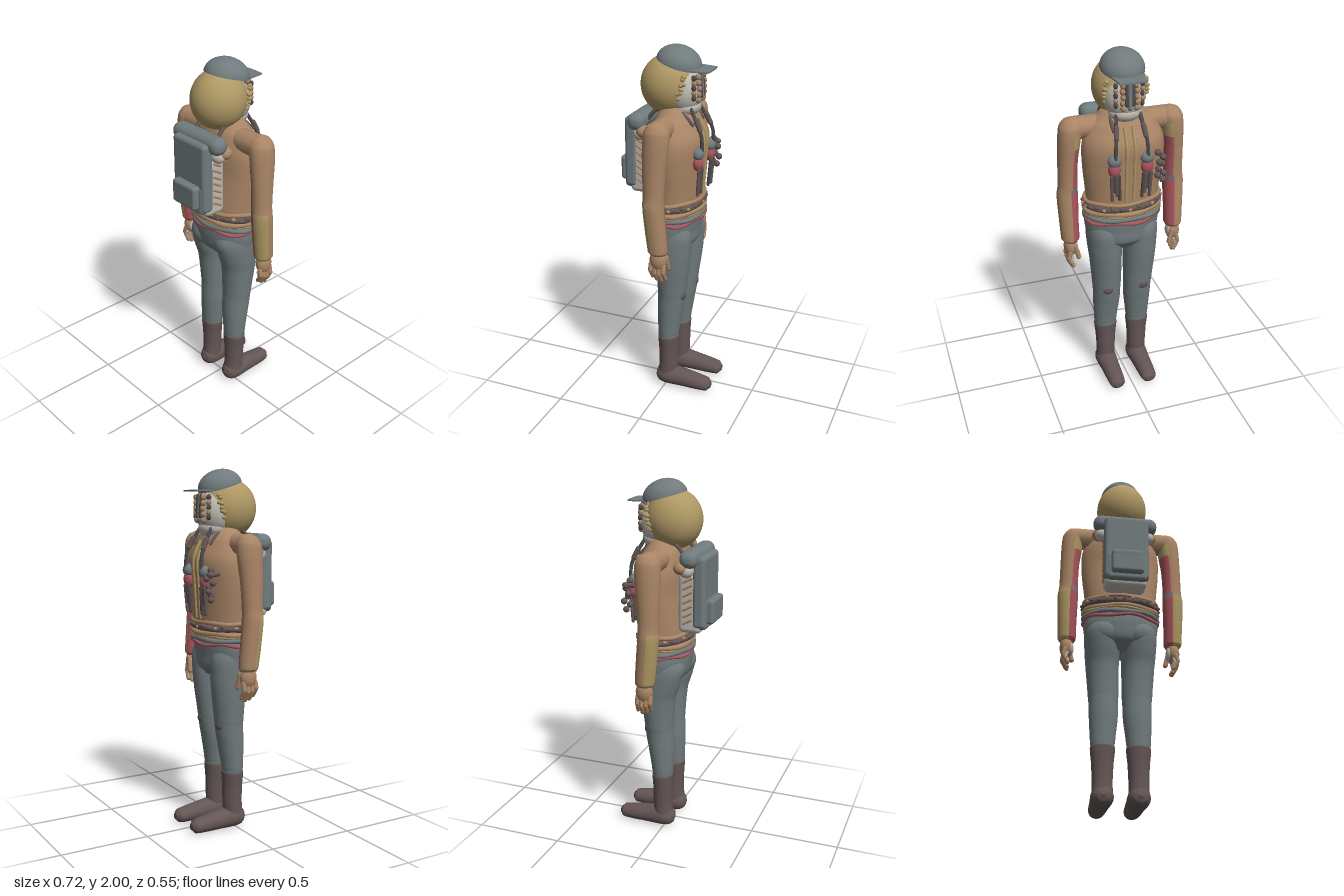
import * as THREE from 'three';
import { RoundedBoxGeometry } from 'three/addons/geometries/RoundedBoxGeometry.js';

const paint = (name, color) => {
  const m = new THREE.MeshStandardMaterial({ color });
  m.name = name;
  return m;
};

export function createModel() {
  const tan = paint('tan', 0xa98566), grey = paint('grey', 0x717b7d), olive = paint('olive', 0xae9864);
  const brown = paint('brown', 0x645655), red = paint('red', 0xa8555c), pale = paint('pale grey', 0xbcb8b0);
  const dark = paint('dark slate', 0x4c4a4b), blue = paint('blue grey', 0x65798a);
  const root = new THREE.Group();
  root.name = 'hiker';

  const add = (name, geo, mat, x = 0, y = 0, z = 0, parent = root) => {
    const m = new THREE.Mesh(geo, mat);
    m.name = name;
    m.position.set(x, y, z);
    parent.add(m);
    return m;
  };
  const ball = (name, mat, x, y, z, rx, ry = rx, rz = rx, seg = 20) =>
    add(name, new THREE.SphereGeometry(1, seg, Math.ceil(seg * 0.7)).scale(rx, ry, rz), mat, x, y, z);
  const box = (name, mat, x, y, z, w, h, d, r) =>
    add(name, new RoundedBoxGeometry(w, h, d, 4, r), mat, x, y, z);
  const tube = (name, mat, pts, r, closed = false, n = 20) => add(name,
    new THREE.TubeGeometry(new THREE.CatmullRomCurve3(pts.map(p => new THREE.Vector3(...p)), closed), n, r, 8, closed), mat);
  // capsule running between two points
  const rod = (name, mat, a, b, r) => {
    const p = new THREE.Vector3(...a), q = new THREE.Vector3(...b), d = q.clone().sub(p);
    const m = add(name, new THREE.CapsuleGeometry(r, d.length(), 5, 12), mat);
    m.position.copy(p).add(q).multiplyScalar(0.5);
    m.quaternion.setFromUnitVectors(new THREE.Vector3(0, 1, 0), d.normalize());
    return m;
  };

  // smooth skin over elliptical sections [y, cx, cz, rx, rz]; pick() chooses a material per face
  const loft = (name, sections, mats, pick = () => 0) => {
    const list = [].concat(mats), seg = 40, sub = 6, rows = [], pos = [];
    const at = i => sections[Math.min(Math.max(i, 0), sections.length - 1)];
    for (let i = 0; i < sections.length - 1; i++)
      for (let k = 0; k < sub + (i === sections.length - 2 ? 1 : 0); k++) {
        const t = k / sub, [a, b, c, d] = [at(i - 1), at(i), at(i + 1), at(i + 2)];
        rows.push(b.map((v, n) => n === 0 ? v + (c[0] - v) * t :
          v + 0.5 * t * (c[n] - a[n] + t * (2 * a[n] - 5 * v + 4 * c[n] - d[n] + t * (3 * (v - c[n]) + d[n] - a[n])))));
      }
    for (const [y, cx, cz, rx, rz] of rows)
      for (let j = 0; j < seg; j++) {
        const a = j / seg * Math.PI * 2;
        pos.push(cx + Math.max(rx, 0.002) * Math.cos(a), y, cz + Math.max(rz, 0.002) * Math.sin(a));
      }
    const last = rows.length - 1, base = rows.length * seg;
    for (const r of [rows[0], rows[last]]) pos.push(r[1], r[0], r[2]);
    const faces = list.map(() => []);
    for (let j = 0; j < seg; j++) {
      const n = (j + 1) % seg;
      for (let i = 0; i < last; i++) {
        const a = i * seg + j, b = i * seg + n;
        faces[pick((j + 0.5) / seg * Math.PI * 2, (rows[i][0] + rows[i + 1][0]) / 2)]
          .push(a, a + seg, b, b, a + seg, b + seg);
      }
      faces[0].push(base, j, n, base + 1, last * seg + n, last * seg + j);
    }
    const g = new THREE.BufferGeometry();
    g.setAttribute('position', new THREE.Float32BufferAttribute(pos, 3));
    g.setIndex(faces.flat());
    let start = 0;
    faces.forEach((f, i) => { g.addGroup(start, f.length, i); start += f.length; });
    g.computeVertexNormals();
    return add(name, g, list.length > 1 ? list : list[0]);
  };

  // jacket, shoulders and collar
  loft('jacket', [[1.08, 0, -.025, .2, .135], [1.2, 0, -.03, .205, .138], [1.4, 0, -.045, .225, .135],
    [1.52, 0, -.045, .222, .14], [1.62, 0, -.03, .18, .11], [1.68, 0, -.025, .115, .085], [1.71, 0, -.025, .08, .07]], tan);
  rod('shoulderYoke', tan, [-.25, 1.598, -.015], [.25, 1.598, -.015], .062);
  for (const x of [-.022, .022])
    tube('jacketPlacket', olive, [[x, 1.62, -.142], [x, 1.52, -.184], [x, 1.4, -.179], [x, 1.2, -.167]], .009);

  // wavy hem bands and belt
  const band = (name, mat, y, r, grow, wave) => {
    const pts = [];
    for (let i = 0; i < 36; i++) {
      const a = i / 36 * Math.PI * 2;
      pts.push([(.208 + grow) * Math.cos(a), y + wave * Math.sin(a * 5 + y * 90), -.025 + (.138 + grow) * Math.sin(a)]);
    }
    tube(name, mat, pts, r, true, 72);
  };
  band('jacketHem', tan, 1.178, .012, .001, .003);
  band('beltBand', brown, 1.15, .017, 0, .002);
  band('hemRoll', tan, 1.12, .014, .003, .003);
  band('lowerHem', olive, 1.107, .008, .006, .003);
  band('waistRoll', grey, 1.085, .014, .003, .003);
  band('shirtTail', red, 1.062, .010, .005, .007);
  for (let i = 0; i < 28; i++) {
    const a = i / 28 * Math.PI * 2;
    ball('beltStud', i % 3 ? brown : tan, .218 * Math.cos(a), 1.156 + .006 * Math.sin(i * 2.3), -.025 + .148 * Math.sin(a), .013, .01, .013, 10);
  }

  // trousers seat
  loft('trouserSeat', [[.88, 0, -.03, .12, .08], [.93, 0, -.025, .19, .125], [1.0, 0, -.02, .208, .135],
    [1.06, 0, -.022, .212, .138], [1.12, 0, -.025, .2, .13]], grey);

  for (const s of [1, -1]) {
    // legs and boots
    const x = .097 * s;
    loft('trouserLeg', [[.32, x, -.012, .063, .057], [.36, x, -.013, .067, .06], [.5, .093 * s, -.022, .078, .073],
      [.58, .093 * s, -.03, .08, .079], [.63, .094 * s, -.033, .084, .082], [.8, .1 * s, -.037, .092, .099],
      [.9, .102 * s, -.026, .099, .118], [.98, .103 * s, -.02, .1, .125], [1.06, .1 * s, -.02, .09, .1]], grey);
    ball('buttock', grey, .088 * s, .975, .03, .092, .085, .083);
    ball('kneePatch', brown, .1 * s, .605, -.085, .04, .036, .032);
    loft('bootShaft', [[.05, x, -.004, .056, .056], [.15, x, -.012, .055, .055], [.25, x, -.012, .06, .056],
      [.32, x, -.012, .067, .06], [.332, x, -.012, .066, .06]], brown);
    loft('bootFoot', [[-.064, x, .062, .006, .006], [-.052, x, .062, .035, .036], [-.03, x, .062, .053, .053],
      [.01, x, .063, .061, .06], [.1, x, .057, .054, .054], [.2, x, .049, .049, .046], [.255, x, .045, .042, .038],
      [.275, x, .045, .02, .018]], brown).rotation.x = -Math.PI / 2;

    // sleeves with patchwork panels
    loft('sleeve', [[.94, .3 * s, -.035, .04, .045], [.955, .301 * s, -.034, .05, .054], [1.05, .303 * s, -.025, .053, .057],
      [1.21, .304 * s, -.012, .058, .058], [1.27, .301 * s, -.012, .053, .057], [1.42, .297 * s, -.015, .054, .064],
      [1.54, .287 * s, -.02, .061, .071], [1.61, .277 * s, -.021, .064, .068], [1.645, .272 * s, -.021, .048, .048],
      [1.662, .27 * s, -.02, .014, .014]], [tan, red, olive, blue], (a, y) => {
      const inward = -s * Math.cos(a), back = Math.sin(a);
      if (y < 1.235) return inward > .12 ? 1 : back > .15 ? 2 : 0;
      if (y < 1.265) return inward > .1 ? 3 : 0;
      if (y < 1.5) return inward > .25 ? 1 : 0;
      return y < 1.57 && inward > .15 ? 2 : 0;
    });

    // hands
    ball('palm', tan, .303 * s, .905, -.037, .036, .06, .048);
    ball('palmPad', pale, .279 * s, .9, -.037, .018, .042, .036);
    for (let i = 0; i < 4; i++) {
      const z = .001 - i * .024, drop = [.02, .005, 0, .012][i];
      rod('fingerBase', tan, [.312 * s, .88, z], [.32 * s, .83 + drop, z], .0135);
      rod('fingerTip', tan, [.32 * s, .825 + drop, z], [.297 * s, .785 + drop, z - .004], .012);
      rod('fingerPad', pale, [.3 * s, .86, z], [.308 * s, .82 + drop, z], .009);
    }
    rod('thumb', tan, [.285 * s, .92, -.075], [.267 * s, .85, -.08], .0135);

    // chest straps, pouches and hanging cords
    tube('chestStrap', dark, [[.055 * s, 1.71, -.11], [.075 * s, 1.62, -.16], [.085 * s, 1.55, -.193], [.09 * s, 1.47, -.2]], .01);
    rod('strapToggle', brown, [.073 * s, 1.63, -.16], [.08 * s, 1.58, -.183], .014);
    ball('pouchTop', grey, .09 * s, 1.455, -.18, .038, .036, .032);
    ball('pouchBody', red, .09 * s, 1.405, -.178, .034, .045, .03);
    for (let i = 0; i < 4; i++) {
      const cx = (.068 + i * .014) * s;
      rod('hangingCord', i % 2 ? brown : dark, [cx, 1.37, -.192], [cx - .006 * s, 1.23 + .025 * (i % 3), -.182], .009);
    }

    // pack side bundles and lacing
    ball('sideBundle', pale, .125 * s, 1.545, .135, .045, .04, .04);
    ball('sideBundleCap', tan, .145 * s, 1.56, .11, .04, .035, .04);
    for (let i = 0; i < 7; i++) {
      const y = 1.25 + i * .038;
      rod('packLacing', tan, [.119 * s, y, .115], [.119 * s, y + .025, .16], .006);
    }
    tube('shoulderStrap', brown, [[.085 * s, 1.6, .12], [.085 * s, 1.675, .05], [.085 * s, 1.675, -.06], [.08 * s, 1.6, -.15]], .011);

    // face tassels and hair curls
    for (let i = 0; i < 5; i++) {
      ball('faceBead', tan, (.036 + .003 * (i % 2)) * s, 1.85 - i * .03, -.158 + .002 * Math.abs(i - 2), .014, .018, .018, 12);
      ball('outerBead', i % 2 ? tan : dark, .071 * s, 1.85 - i * .026, -.143, .012, .016, .014, 12);
    }
    rod('facePlate', dark, [.018 * s, 1.86, -.155], [.018 * s, 1.75, -.164], .011);
    for (let i = 0; i < 12; i++) {
      const t = i / 11, w = Math.sin(i * 2.4) * .006;
      ball('hairCurl', olive, (.105 + .025 * Math.sin(t * Math.PI) - .035 * t) * s, 1.86 - .175 * t + w,
        -.1 + .085 * t * t + w, .013, .011, .013, 10);
    }
  }

  // cluster of small charms on one side of the chest
  for (let i = 0; i < 8; i++)
    ball('charm', brown, -.15 - .024 * (i % 2), 1.47 - .022 * i, -.178 - .018 * (i % 3) * .7, .018, .018, .018, 12);
  rod('charmStick', brown, [-.17, 1.45, -.145], [-.172, 1.45, -.2], .013);

  // head, hair and cap
  ball('hair', olive, 0, 1.79, .02, .145, .161, .155, 40);
  ball('face', pale, 0, 1.765, -.062, .112, .125, .103, 32);
  ball('neckScarf', pale, 0, 1.685, -.075, .09, .055, .08, 28);
  rod('noseGuard', grey, [0, 1.86, -.155], [0, 1.73, -.162], .013);
  const cap = new THREE.Group();
  cap.name = 'cap';
  cap.position.set(0, 1.905, -.033);
  cap.rotation.x = -.28;
  root.add(cap);
  const dome = new THREE.SphereGeometry(1, 40, 16, 0, Math.PI * 2, 0, Math.PI / 2).scale(.117, .094, .123);
  add('capDome', dome, grey, 0, 0, 0, cap);
  add('capBase', new THREE.CircleGeometry(1, 40).rotateX(Math.PI / 2).scale(.117, 1, .123), grey, 0, 0, 0, cap);
  const peak = new THREE.Shape();
  peak.moveTo(-.085, .09);
  peak.lineTo(-.073, .185);
  peak.quadraticCurveTo(0, .195, .073, .185);
  peak.lineTo(.085, .09);
  const brim = add('capBrim', new THREE.ExtrudeGeometry(peak, { depth: .008, bevelEnabled: false, curveSegments: 10 }),
    grey, 0, 1.886, -.033);
  brim.rotation.x = -Math.PI / 2 - .03;

  // backpack
  box('packBody', pale, 0, 1.36, .145, .235, .33, .13, .03);
  box('packPanel', grey, 0, 1.425, .2, .25, .39, .07, .022);
  box('packLowerFlap', grey, 0, 1.3, .215, .225, .16, .05, .02);
  box('packPocket', grey, 0, 1.318, .245, .18, .135, .06, .018);
  box('packPocketFlap', grey, 0, 1.365, .249, .172, .04, .054, .015);
  box('bedRoll', grey, 0, 1.608, .152, .364, .094, .098, .043);
  return root;
}
